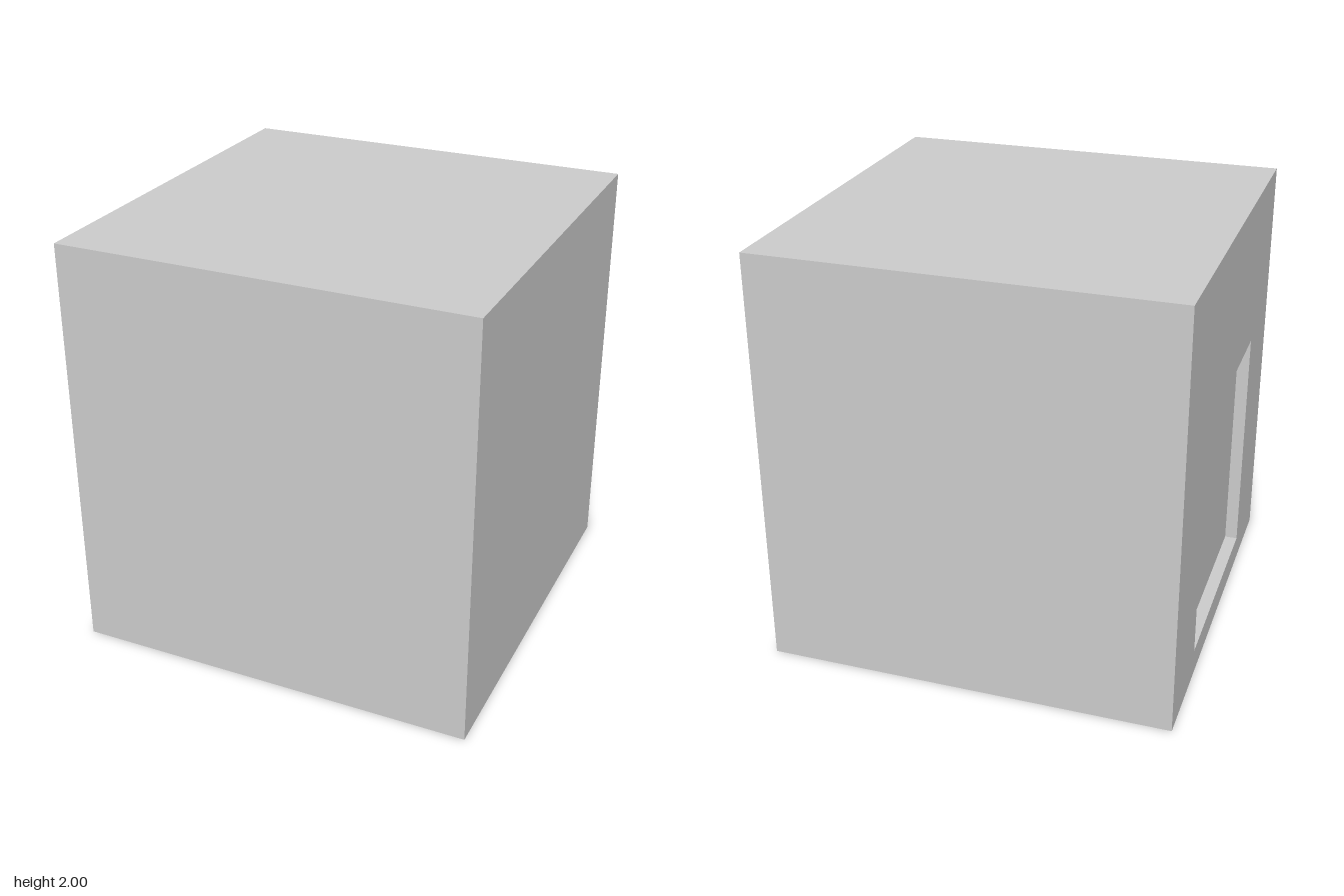
import * as THREE from 'three';

const HALF = 0.96, HEIGHT = 2;                 // outer block
const BAY = { half: 0.525, bottom: 0.13, top: 1.255, depth: 0.06 };

// Box without its -x face; inward = true turns the faces to the inside.
function openBox(w, h, d, inward = false) {
  const geometry = new THREE.BoxGeometry(w, h, d);
  const index = Array.from(geometry.index.array);
  index.splice(6, 6);
  if (inward) index.reverse();
  geometry.setIndex(index);
  geometry.clearGroups();
  const flat = geometry.toNonIndexed();
  flat.computeVertexNormals();
  return flat;
}

function rectangle(path, half, bottom, top) {
  path.moveTo(-half, bottom);
  path.lineTo(half, bottom);
  path.lineTo(half, top);
  path.lineTo(-half, top);
  path.closePath();
  return path;
}

export function createModel() {
  const model = new THREE.Group();
  model.name = 'block';
  const material = new THREE.MeshStandardMaterial({ color: 0xcccccc });
  const add = (name, geometry) => {
    const mesh = new THREE.Mesh(geometry, material);
    mesh.name = name;
    model.add(mesh);
    return mesh;
  };

  // Five plain sides of the block
  add('body', openBox(HALF * 2, HEIGHT, HALF * 2)).position.y = HEIGHT / 2;

  // Side wall with the rectangular opening
  const wall = rectangle(new THREE.Shape(), HALF, 0, HEIGHT);
  wall.holes.push(rectangle(new THREE.Path(), BAY.half, BAY.bottom, BAY.top));
  add('openingWall', new THREE.ShapeGeometry(wall).rotateY(-Math.PI / 2)).position.x = -HALF;

  // Shallow recess: sill, jambs, lintel and back panel
  const recess = add('recess', openBox(BAY.depth, BAY.top - BAY.bottom, BAY.half * 2, true));
  recess.position.set(-HALF + BAY.depth / 2, (BAY.top + BAY.bottom) / 2, 0);

  return model;
}
